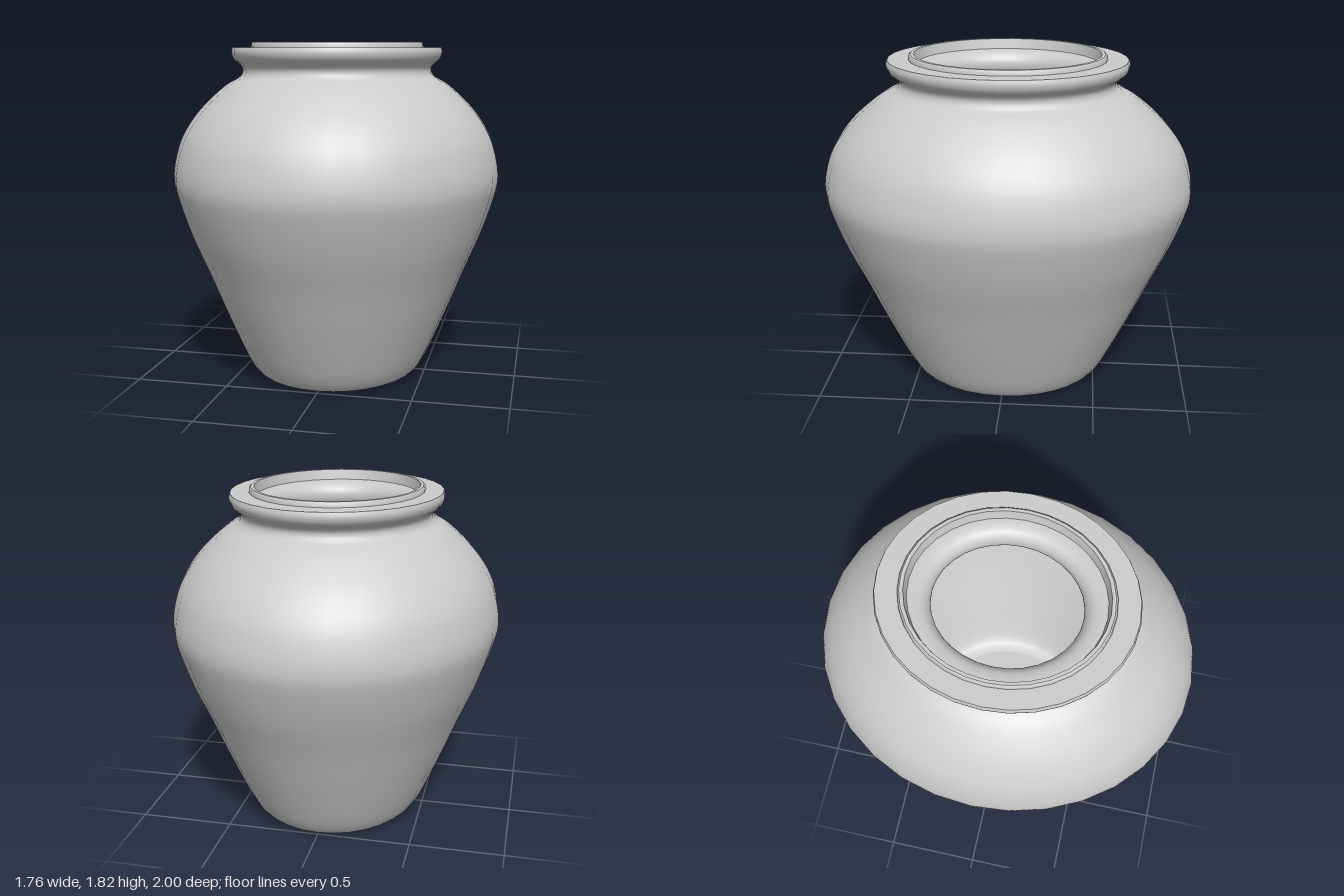
import * as THREE from 'three';

const SEGMENTS = 32;
const WIDTH_RATIO = 0.88; // the jar is oval: narrower in x than in z

const material = new THREE.MeshStandardMaterial({ color: 0xcccccc, side: THREE.DoubleSide });

// Turn a profile of [radius in z, height] into an oval ring surface
function turned(name, profile, smoothSteps = 0) {
  let points = profile.map(([r, y]) => new THREE.Vector2(r, y));
  if (smoothSteps) points = new THREE.SplineCurve(points).getPoints(smoothSteps);
  const geometry = new THREE.LatheGeometry(points, SEGMENTS);
  geometry.scale(WIDTH_RATIO, 1, 1);
  const mesh = new THREE.Mesh(geometry, material);
  mesh.name = name;
  return mesh;
}

export function createModel() {
  const jar = new THREE.Group();
  jar.name = 'jar';

  // Underside with the flared drain hole
  jar.add(turned('base', [
    [0.055, 0.1], [0.056, 0.06], [0.065, 0.025], [0.09, 0.006], [0.13, 0], [0.46, 0],
  ]));

  // Outer wall: tapered foot, wide belly, shoulder, neck and underside of the rim
  jar.add(turned('outerWall', [
    [0.46, 0], [0.515, 0.02], [0.565, 0.085], [0.625, 0.2], [0.72, 0.4], [0.81, 0.6],
    [0.905, 0.8], [0.98, 1.0], [1.0, 1.1], [0.987, 1.2], [0.95, 1.31], [0.885, 1.41],
    [0.80, 1.5], [0.68, 1.595], [0.60, 1.635], [0.578, 1.67], [0.59, 1.7], [0.63, 1.73],
    [0.645, 1.765], [0.638, 1.793],
  ], 60));

  // Flat rim and the low raised ring on top of it
  jar.add(turned('rimTop', [[0.638, 1.793], [0.527, 1.793]]));
  jar.add(turned('ringOuterSide', [[0.527, 1.793], [0.525, 1.813], [0.516, 1.82]]));
  jar.add(turned('ringTop', [[0.516, 1.82], [0.497, 1.82]]));
  jar.add(turned('ringInnerSide', [[0.497, 1.82], [0.485, 1.765]]));

  // Recessed lip curling down into the mouth
  jar.add(turned('mouthLip', [
    [0.485, 1.765], [0.45, 1.762], [0.41, 1.75], [0.382, 1.72], [0.375, 1.685],
    [0.385, 1.65], [0.42, 1.62],
  ], 18));

  // Hollow inside, down to the drain hole
  jar.add(turned('innerWall', [
    [0.42, 1.62], [0.55, 1.56], [0.69, 1.46], [0.80, 1.35], [0.88, 1.2], [0.9, 1.1],
    [0.88, 0.98], [0.8, 0.78], [0.71, 0.58], [0.62, 0.39], [0.53, 0.2], [0.47, 0.12], [0.4, 0.1],
  ], 40));
  jar.add(turned('innerFloor', [[0.4, 0.1], [0.055, 0.1]]));

  return jar;
}
